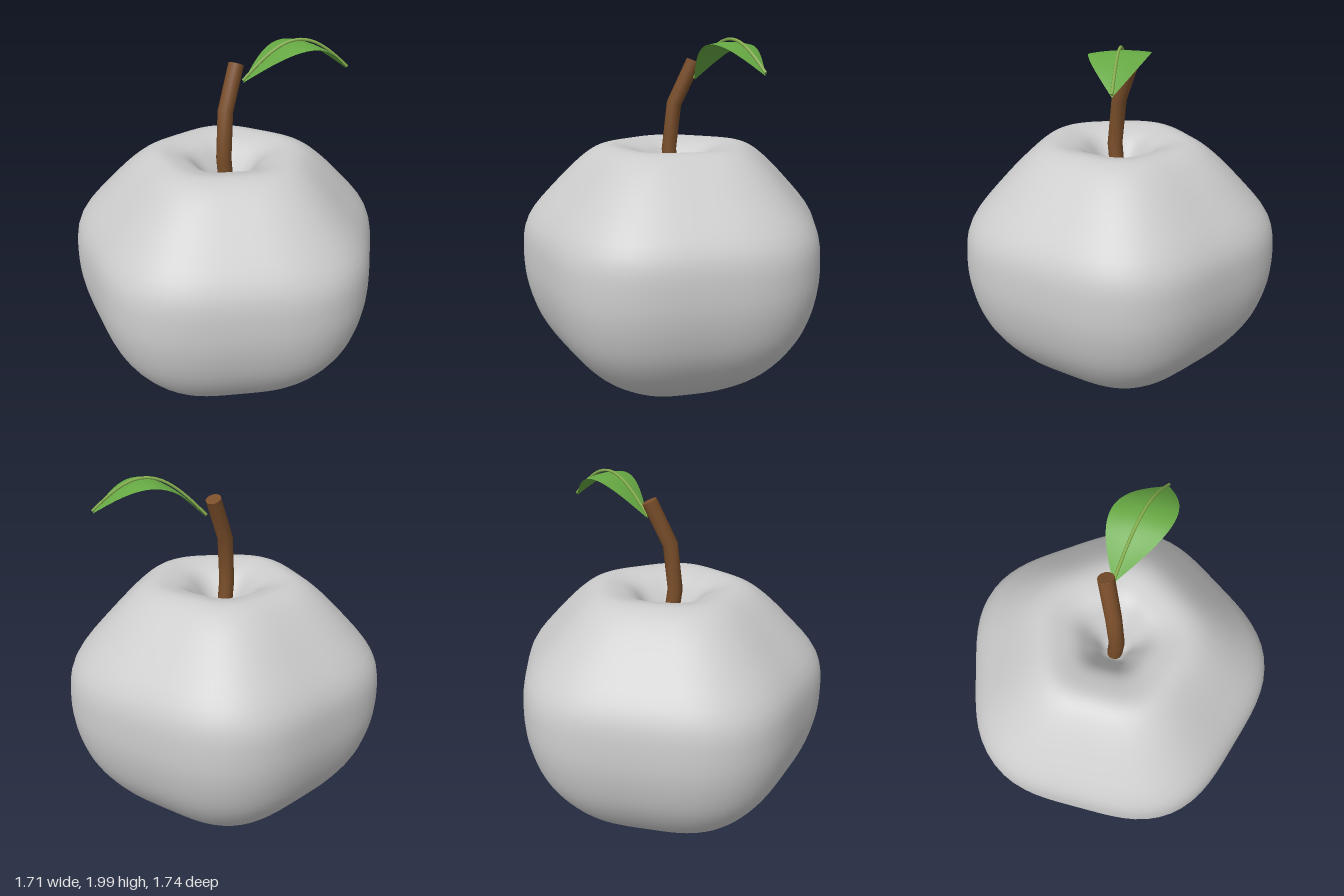
import * as THREE from 'three';
import { mergeVertices } from 'three/addons/utils/BufferGeometryUtils.js';

const AXIS_X = -0.036; // the fruit's core sits slightly off centre
const mat = (color, side = THREE.FrontSide) => new THREE.MeshStandardMaterial({ color, side });

function part(name, geometry, material) {
  const mesh = new THREE.Mesh(geometry, material);
  mesh.name = name;
  return mesh;
}

// Tube with both ends closed by flat discs
function cappedTube(name, curve, segments, radius, sides, material) {
  const group = new THREE.Group();
  group.name = name;
  group.add(part(name + 'Tube', new THREE.TubeGeometry(curve, segments, radius, sides), material));
  for (const t of [0, 1]) {
    const cap = part(name + 'Cap', new THREE.CircleGeometry(radius, sides), material);
    const dir = curve.getTangentAt(t).multiplyScalar(t ? 1 : -1);
    cap.quaternion.setFromUnitVectors(new THREE.Vector3(0, 0, 1), dir);
    cap.position.copy(curve.getPointAt(t));
    group.add(cap);
  }
  return group;
}

// Lathed fruit with a hollow at each end and five soft lobes
function fruitBody() {
  const profile = [
    [0, 0.075], [0.08, 0.068], [0.18, 0.03], [0.28, 0.003], [0.39, 0.045], [0.61, 0.2],
    [0.765, 0.4], [0.838, 0.6], [0.857, 0.8], [0.825, 1.01], [0.66, 1.2], [0.5, 1.355],
    [0.39, 1.413], [0.29, 1.405], [0.2, 1.365], [0.12, 1.27], [0.06, 1.17], [0, 1.13],
  ];
  profile[9] = [0.822, 1.0];
  const spline = new THREE.SplineCurve(profile.map(([r, y]) => new THREE.Vector2(r, y)));
  const points = spline.getPoints(68).map(
    (p) => new THREE.Vector2(Math.max(p.x, 0), THREE.MathUtils.clamp(p.y, 0, 1.42)));
  let geo = new THREE.LatheGeometry(points, 80);
  const pos = geo.attributes.position;
  for (let i = 0; i < pos.count; i++) {
    const x = pos.getX(i), z = pos.getZ(i);
    const lobe = 1 + 0.04 * Math.cos(5 * Math.atan2(z, x));
    pos.setX(i, x * lobe);
    pos.setZ(i, z * lobe);
  }
  // weld the seam so that the shading runs smoothly round
  geo.deleteAttribute('uv');
  geo.deleteAttribute('normal');
  geo = mergeVertices(geo, 1e-5);
  geo.computeVertexNormals();
  return geo;
}

// Centre line of the arched leaf
function leafSpine(t) {
  return new THREE.Vector3(
    0.075 + 0.565 * t,
    1.77 + 0.045 * t + 0.18 * Math.sin(Math.PI * t),
    -0.035 + 0.135 * t);
}

// Leaf blade: u runs along the spine, v across it
function leafBlade() {
  const geo = new THREE.PlaneGeometry(1, 2, 24, 8);
  const pos = geo.attributes.position;
  for (let i = 0; i < pos.count; i++) {
    const t = pos.getX(i) + 0.5, v = -pos.getY(i);
    const half = 0.15 * Math.sin(Math.PI * t);
    const p = leafSpine(t);
    pos.setXYZ(i, p.x, p.y - 0.08 * half * v * v, p.z + v * half);
  }
  geo.computeVertexNormals();
  return geo;
}

export function createModel() {
  const model = new THREE.Group();
  model.name = 'fruit';

  const body = part('body', fruitBody(), mat(0xcccccc));
  body.position.x = AXIS_X;
  model.add(body);

  // Dry blossom end in the lower hollow
  const blossom = part('blossomEnd', new THREE.CylinderGeometry(0.064, 0.064, 0.04, 24), mat(0x4a2f18));
  blossom.position.set(AXIS_X, 0.075, 0);
  model.add(blossom);

  // Bent stem
  const stemCurve = new THREE.CatmullRomCurve3([
    new THREE.Vector3(AXIS_X, 1.13, 0),
    new THREE.Vector3(-0.066, 1.41, 0.02),
    new THREE.Vector3(-0.047, 1.63, 0.0),
    new THREE.Vector3(0.047, 1.87, -0.062),
  ]);
  model.add(cappedTube('stem', stemCurve, 3, 0.042, 12, mat(0x7a4e2a)));

  // Leaf with its raised midrib
  const leaf = new THREE.Group();
  leaf.name = 'leaf';
  leaf.add(part('leafBlade', leafBlade(), mat(0x66a843, THREE.DoubleSide)));
  const ribPoints = [];
  for (let i = 0; i <= 12; i++) ribPoints.push(leafSpine(i / 12).add(new THREE.Vector3(0, 0.014, 0)));
  leaf.add(cappedTube('midrib', new THREE.CatmullRomCurve3(ribPoints), 24, 0.008, 6, mat(0x86b04e)));
  model.add(leaf);

  return model;
}
